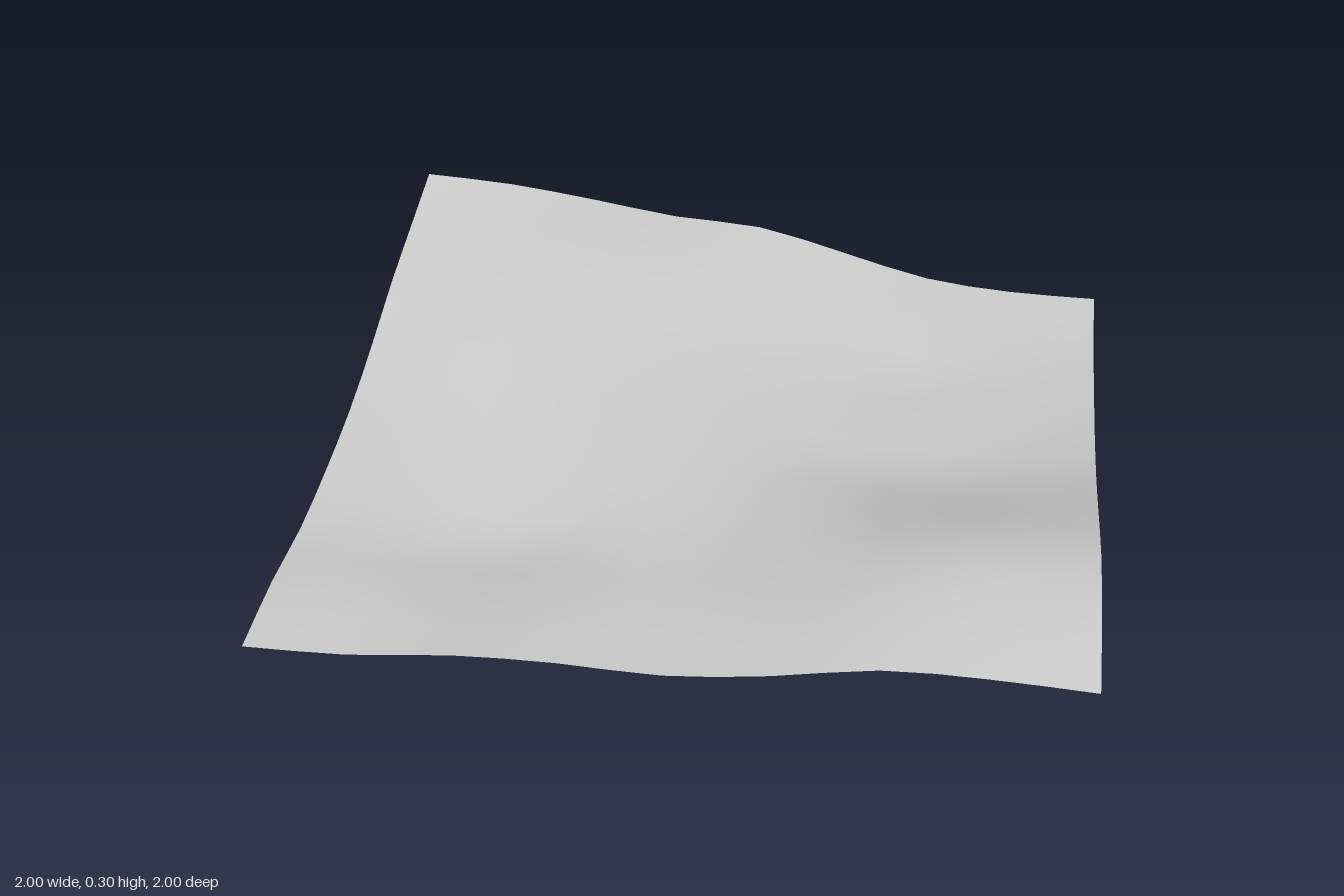
import * as THREE from 'three';

// Heights in thousandths on a 9 x 9 grid: rows run back to front, columns from -x to +x
const HEIGHTS = [
  [304, 287, 252, 212, 193, 125, 55, 27, 21],
  [260, 255, 235, 200, 155, 90, 35, 15, 2],
  [215, 225, 200, 165, 115, 60, 6, 12, 12],
  [155, 185, 165, 135, 100, 55, 25, 20, 30],
  [108, 135, 130, 115, 95, 60, 30, 40, 68],
  [85, 95, 90, 95, 90, 100, 105, 120, 128],
  [77, 75, 56, 85, 90, 130, 175, 200, 190],
  [97, 100, 100, 110, 105, 140, 195, 205, 200],
  [95, 96, 120, 123, 112, 137, 180, 180, 165],
];
const SEGMENTS = 16;

// Smooth interpolation through evenly spaced values, t in 0..1
function sample(values, t) {
  const last = values.length - 1;
  const i = Math.min(Math.floor(t * last), last - 1);
  const f = t * last - i;
  const b = values[i], c = values[i + 1];
  const a = i > 0 ? values[i - 1] : 2 * b - c;
  const d = i + 2 <= last ? values[i + 2] : 2 * c - b;
  return b + 0.5 * f * (c - a + f * (2 * a - 5 * b + 4 * c - d + f * (3 * (b - c) + d - a)));
}

function heightAt(x, z) {
  const column = HEIGHTS.map((row) => sample(row, (x + 1) / 2));
  return Math.max(0, sample(column, (z + 1) / 2) / 1000);
}

export function createModel() {
  const group = new THREE.Group();
  group.name = 'terrain';

  // Flat square sheet raised into gentle hills
  const geometry = new THREE.PlaneGeometry(2, 2, SEGMENTS, SEGMENTS);
  geometry.rotateX(-Math.PI / 2);
  const position = geometry.attributes.position;
  for (let i = 0; i < position.count; i++) {
    position.setY(i, heightAt(position.getX(i), position.getZ(i)));
  }
  geometry.computeVertexNormals();

  const ground = new THREE.Mesh(
    geometry,
    new THREE.MeshStandardMaterial({ color: 0xcccccc, side: THREE.DoubleSide })
  );
  ground.name = 'groundSurface';
  group.add(ground);
  return group;
}
